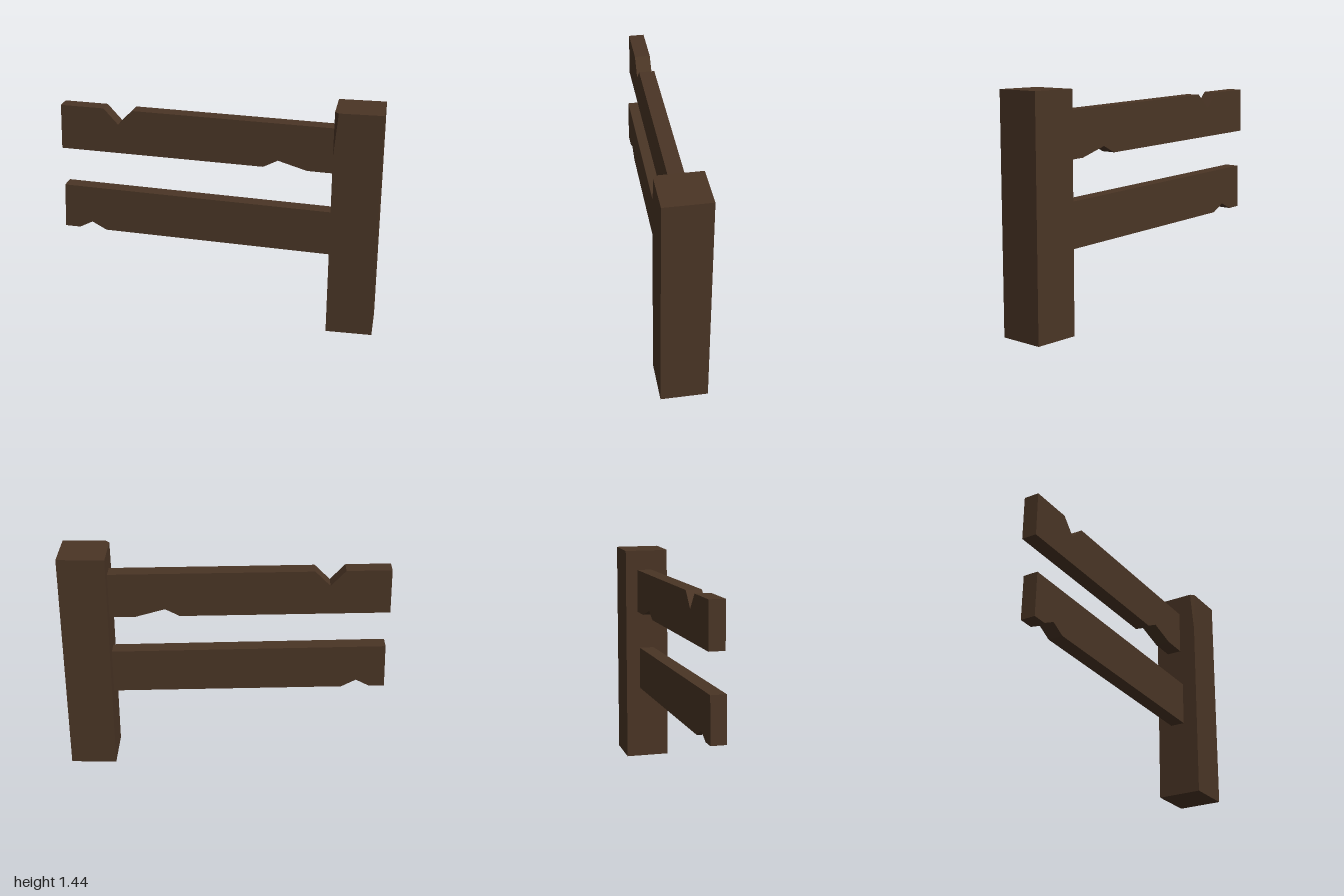
import * as THREE from 'three';
import { ConvexGeometry } from 'three/addons/geometries/ConvexGeometry.js';

const wood = new THREE.MeshStandardMaterial({ color: 0x4a3525, flatShading: true });

// A plank: notched outline in the xy plane, extruded from zBack to zFront
function plank(name, outline, zBack, zFront) {
  const shape = new THREE.Shape(outline.map(([x, y]) => new THREE.Vector2(x, y)));
  const geometry = new THREE.ExtrudeGeometry(shape, { depth: zFront - zBack, bevelEnabled: false });
  geometry.translate(0, 0, zBack);
  const mesh = new THREE.Mesh(geometry, wood);
  mesh.name = name;
  return mesh;
}

// Square post with a sliver chipped off its front inner top corner
function chippedPost() {
  const [x0, x1, z0, z1, h] = [0.712, 1, -0.144, 0.144, 1.44];
  const corners = [];
  for (const x of [x0, x1])
    for (const z of [z0, z1])
      for (const y of [0, h])
        if (!(x === x0 && z === z1 && y === h)) corners.push(new THREE.Vector3(x, y, z));
  corners.push(
    new THREE.Vector3(x0 + 0.024, h, z1),
    new THREE.Vector3(x0, h, z1 - 0.024),
    new THREE.Vector3(x0, 1.17, z1)
  );
  const mesh = new THREE.Mesh(new ConvexGeometry(corners), wood);
  mesh.name = 'post';
  return mesh;
}

export function createModel() {
  const fence = new THREE.Group();
  fence.name = 'brokenFence';
  fence.add(chippedPost());

  // Upper rail: deep notch on top, shallow notch below
  fence.add(plank('upperRail', [
    [-1, 1.075], [0.28, 1.036], [0.37, 1.082], [0.55, 1.028], [0.73, 1.022],
    [0.73, 1.309], [-0.535, 1.344], [-0.63, 1.25], [-0.72, 1.35], [-0.993, 1.357],
  ], -0.065, 0.032));

  // Lower rail: notch below, near the free end
  fence.add(plank('lowerRail', [
    [-1, 0.548], [-0.905, 0.545], [-0.82, 0.588], [-0.73, 0.538], [0.73, 0.487],
    [0.73, 0.771], [-0.99, 0.832],
  ], -0.05, 0.045));

  return fence;
}
